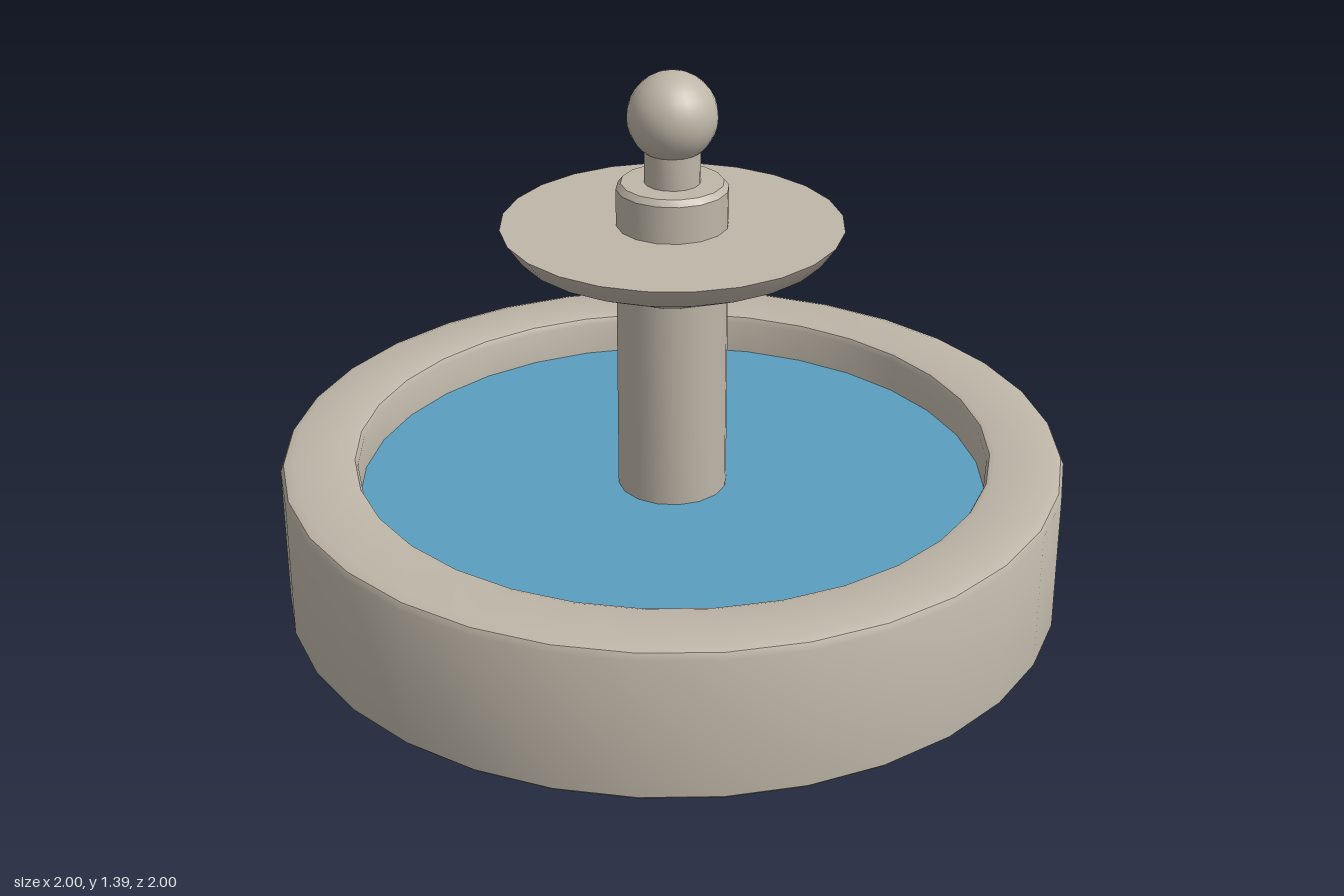
import * as THREE from 'three';
import { toCreasedNormals } from 'three/addons/utils/BufferGeometryUtils.js';

const stone = new THREE.MeshStandardMaterial({ color: 0xbeb6a8 });
const waterBlue = new THREE.MeshStandardMaterial({ color: 0x5a9fbf });
const darkBase = new THREE.MeshStandardMaterial({ color: 0x55535c });

// Turns a list of [radius, height] pairs, running bottom to top on the outside
function turned(name, profile, sides, crease = 0.6) {
  const points = profile.map(([r, y]) => new THREE.Vector2(r, y));
  const geometry = toCreasedNormals(new THREE.LatheGeometry(points, sides), crease);
  const mesh = new THREE.Mesh(geometry, stone);
  mesh.name = name;
  return mesh;
}

// Flat round sheet, facing up or down
function disc(name, radius, sides, y, material, up) {
  const geometry = new THREE.CircleGeometry(radius, sides).rotateX(up ? -Math.PI / 2 : Math.PI / 2);
  const mesh = new THREE.Mesh(geometry, material);
  mesh.name = name;
  mesh.position.y = y;
  return mesh;
}

export function createModel() {
  const fountain = new THREE.Group();
  fountain.name = 'fountain';

  // Thick basin wall with softened edges, a closed ring
  fountain.add(turned('basinWall', [
    [0.81, 0], [0.99, 0], [1, 0.01], [1, 0.37], [0.992, 0.387], [0.97, 0.395],
    [0.825, 0.395], [0.812, 0.39], [0.805, 0.375], [0.805, 0.01], [0.81, 0],
  ], 32));

  // Water surface and the underside that closes the basin
  fountain.add(disc('water', 0.808, 32, 0.285, waterBlue, true));
  fountain.add(disc('basinFloor', 0.812, 32, 0.003, darkBase, false));

  // Central column, passing through the bowl to a collar above it
  fountain.add(turned('column', [
    [0, 0.02], [0.14, 0.02], [0.14, 1.095], [0.128, 1.11], [0, 1.11],
  ], 16));

  // Upper bowl with a flared lip and a flat top
  fountain.add(turned('upperBowl', [
    [0, 0.83], [0.14, 0.83], [0.39, 0.947], [0.427, 1.0], [0, 1.0],
  ], 24));

  // Neck and ball finial
  fountain.add(turned('neck', [[0, 1.1], [0.07, 1.1], [0.07, 1.22], [0, 1.22]], 16));
  const ball = new THREE.Mesh(new THREE.SphereGeometry(0.112, 24, 16), stone);
  ball.name = 'ballFinial';
  ball.position.y = 1.278;
  fountain.add(ball);

  return fountain;
}
